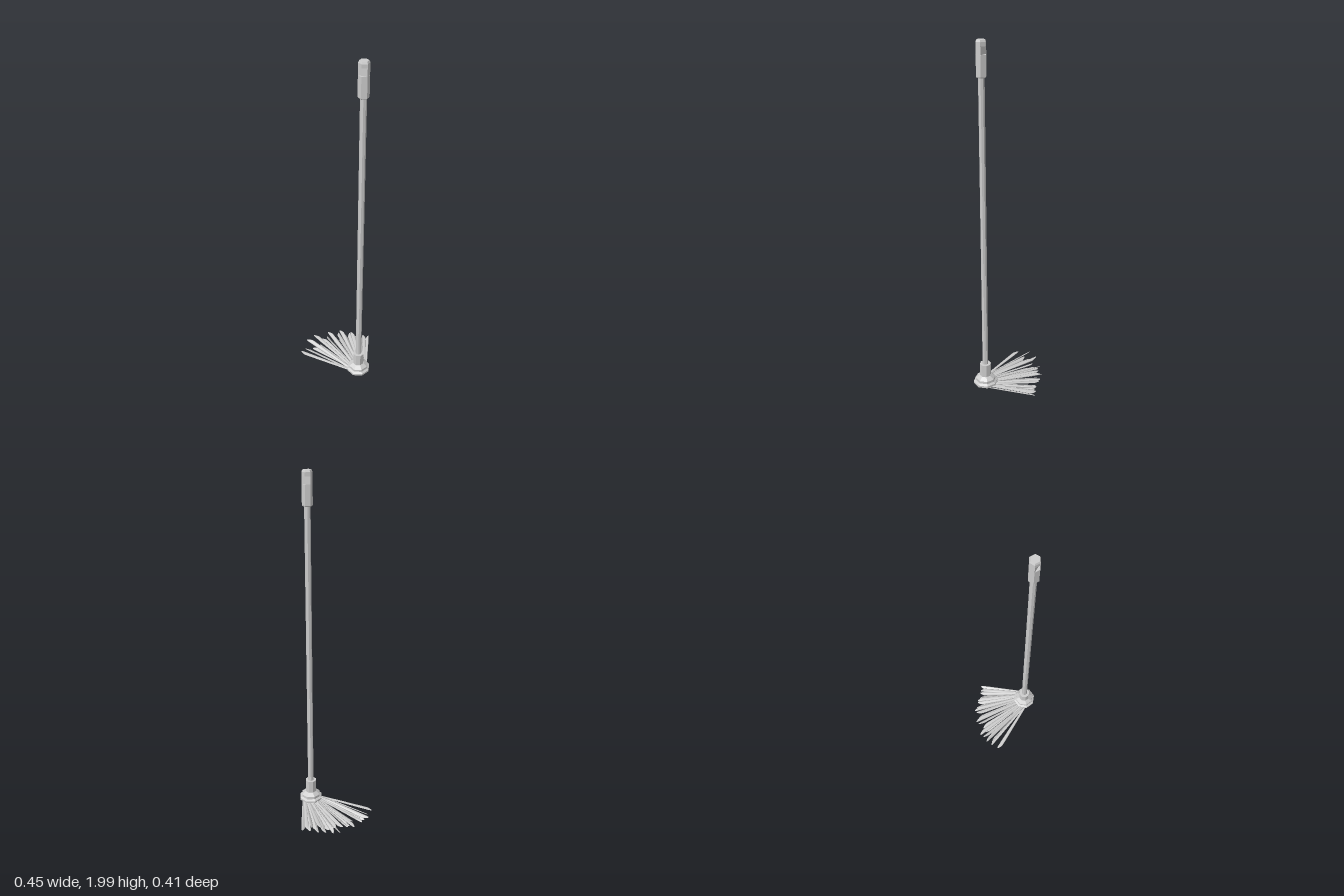
import * as THREE from 'three';

const material = new THREE.MeshStandardMaterial({ color: 0xcccccc, flatShading: true });
const strandMaterial = new THREE.MeshStandardMaterial({ color: 0xcccccc, side: THREE.DoubleSide });
const AXIS_X = 0.067, AXIS_Z = 0.138;

// Faceted part turned about the pole axis; profile is [radius, height] from bottom to top
function turned(name, sides, turn, profile) {
  const points = profile.map(([r, y]) => new THREE.Vector2(r, y));
  const mesh = new THREE.Mesh(new THREE.LatheGeometry(points, sides), material);
  mesh.name = name;
  mesh.rotation.y = turn;
  mesh.position.set(AXIS_X, 0, AXIS_Z);
  return mesh;
}

// Flat strand that widens towards a slanted tip
// Sections: [distance along, half width, half thickness, sideways shift]
const SECTIONS = [
  [0, 0, 0, 0], [0.01, 0.006, 0.003, 0], [0.45, 0.009, 0.0035, 0], [0.8, 0.0115, 0.003, 0],
  [0.91, 0.0115, 0.0025, 0], [0.96, 0.008, 0.002, 0.0035], [0.99, 0.004, 0.0015, 0.006], [1, 0, 0, 0.007],
];
const RING = 8;

function strandGeometry(root, tip, roll, slant) {
  const along = tip.clone().sub(root);
  const dir = along.clone().normalize();
  const side = dir.clone().cross(new THREE.Vector3(0, 1, 0)).normalize().applyAxisAngle(dir, roll);
  const normal = side.clone().cross(dir);
  const positions = [], index = [];
  SECTIONS.forEach(([t, w, h, shift], i) => {
    for (let j = 0; j < RING; j++) {
      const a = (j / RING) * Math.PI * 2;
      const p = root.clone().addScaledVector(along, t)
        .addScaledVector(side, Math.cos(a) * w + shift * slant)
        .addScaledVector(normal, Math.sin(a) * h);
      positions.push(p.x, p.y, p.z);
      if (i < SECTIONS.length - 1) {
        const k = (j + 1) % RING, b = i * RING, n = b + RING;
        index.push(b + j, n + j, b + k, n + j, n + k, b + k);
      }
    }
  });
  const geometry = new THREE.BufferGeometry();
  geometry.setAttribute('position', new THREE.Float32BufferAttribute(positions, 3));
  geometry.setIndex(index);
  geometry.computeVertexNormals();
  return geometry;
}

// Strand tips: x, y, z
const TIPS = [
  [-0.222, 0.053, -0.11], [-0.178, 0.03, -0.15], [-0.158, 0.083, -0.176], [-0.125, 0.05, -0.185],
  [-0.102, 0.075, -0.206], [-0.06, 0.06, -0.175], [-0.03, 0.05, -0.195], [-0.008, 0.072, -0.208],
  [0.01, 0.05, -0.193], [0.044, 0.06, -0.192], [0.068, 0.07, -0.2], [0.09, 0.045, -0.183],
  [0.11, 0.055, -0.168], [0.132, 0.065, -0.165], [0.153, 0.04, -0.145], [0.17, 0.058, -0.138],
  [0.187, 0.035, -0.133], [0.2, 0.05, -0.128], [0.22, 0.042, -0.122],
  // lower layer
  [-0.155, 0.015, -0.14], [-0.13, 0.025, -0.15], [-0.085, 0.013, -0.17], [-0.045, 0.02, -0.165],
  [0.022, 0.013, -0.185], [0.052, 0.02, -0.18], [0.1, 0.014, -0.155], [0.14, 0.018, -0.14],
];

export function createModel() {
  const group = new THREE.Group();

  // Head, socket and pole
  group.add(turned('mopHead', 8, 0, [
    [0, 0.06], [0.069, 0.064], [0.069, 0.076], [0.057, 0.084], [0.056, 0.098], [0.034, 0.115], [0, 0.115],
  ]));
  group.add(turned('socket', 8, 0, [[0, 0.1], [0.032, 0.1], [0.032, 0.19], [0, 0.19]]));
  group.add(turned('pole', 8, Math.PI / 8, [[0, 0.15], [0.0165, 0.15], [0.0165, 1.84], [0, 1.84]]));

  // Six-sided grip with a notch cut into two opposite corners
  const grip = new THREE.Group();
  grip.name = 'grip';
  const turn = Math.PI / 12;
  grip.add(turned('gripBody', 6, turn, [[0, 1.82], [0.025, 1.82], [0.028, 1.825], [0.028, 1.93], [0, 1.93]]));
  grip.add(turned('gripCap', 6, turn, [[0, 1.97], [0.028, 1.97], [0.028, 1.99], [0.023, 2], [0, 2]]));
  const neck = new THREE.Mesh(new THREE.BoxGeometry(0.028, 0.044, 0.048), material);
  neck.name = 'gripNeck';
  neck.position.set(AXIS_X, 1.95, AXIS_Z);
  neck.rotation.y = Math.PI / 4;
  grip.add(neck);
  group.add(grip);

  // Fan of strands sweeping out behind the head
  const strands = new THREE.Group();
  strands.name = 'strands';
  TIPS.forEach(([x, y, z], i) => {
    const root = new THREE.Vector3(AXIS_X + 0.2 * (x - 0.01), 0.06 + 0.003 * (i % 3), 0.14 + 0.008 * (i % 4));
    const roll = 0.65 * Math.sin(i * 2.4);
    const geometry = strandGeometry(root, new THREE.Vector3(x, y, z), roll, i % 3 ? -1 : 1);
    const mesh = new THREE.Mesh(geometry, strandMaterial);
    mesh.name = 'strand';
    strands.add(mesh);
  });
  group.add(strands);
  return group;
}
